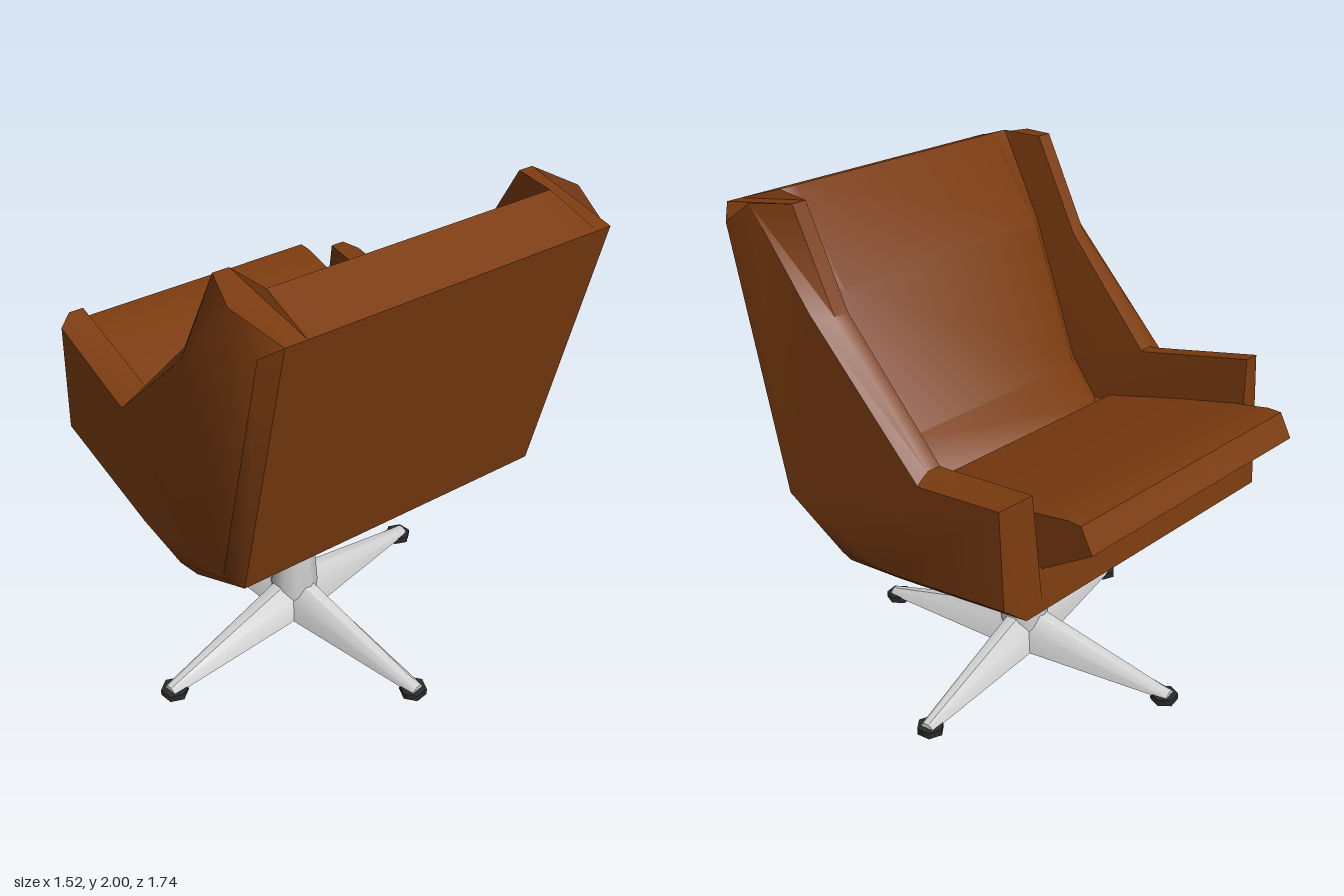
import * as THREE from 'three';
import { toCreasedNormals } from 'three/addons/utils/BufferGeometryUtils.js';

// Skins closed [z, y] profiles placed at decreasing x and caps both ends.
function loft(stations, crease = 0.7) {
  const pos = [], idx = [];
  const n = stations[0].pts.length;
  for (const s of stations) for (const [z, y] of s.pts) pos.push(s.x, y, z);
  for (let r = 0; r < stations.length - 1; r++) {
    for (let i = 0; i < n; i++) {
      const j = (i + 1) % n;
      const a = r * n + i, b = r * n + j, c = b + n, d = a + n;
      idx.push(a, b, c, a, c, d);
    }
  }
  [0, stations.length - 1].forEach((r, end) => {
    const contour = stations[r].pts.map(([z, y]) => new THREE.Vector2(-z, y));
    for (const [a, b, c] of THREE.ShapeUtils.triangulateShape(contour, [])) {
      const ccw = THREE.ShapeUtils.area([contour[a], contour[b], contour[c]]) > 0;
      const o = r * n;
      if (ccw === (end === 0)) idx.push(o + a, o + b, o + c);
      else idx.push(o + a, o + c, o + b);
    }
  });
  const g = new THREE.BufferGeometry();
  g.setAttribute('position', new THREE.Float32BufferAttribute(pos, 3));
  g.setIndex(idx);
  return toCreasedNormals(g, crease);
}

function material(name, color) {
  const m = new THREE.MeshStandardMaterial({ color });
  m.name = name;
  return m;
}

function add(parent, name, geometry, mat) {
  const mesh = new THREE.Mesh(geometry, mat);
  mesh.name = name;
  parent.add(mesh);
  return mesh;
}

export function createModel() {
  const leather = material('brownLeather', 0x7c3c10);
  leather.side = THREE.DoubleSide;
  const metal = material('brushedMetal', 0xd2d2d2);
  const rubber = material('blackRubber', 0x2b2b2b);
  const model = new THREE.Group();
  model.name = 'swivelArmchair';

  // Upholstered part, swivelled slightly on its base
  const seatGroup = new THREE.Group();
  seatGroup.name = 'upholstery';
  seatGroup.position.x = 0.013;
  seatGroup.rotation.y = -0.06;
  model.add(seatGroup);

  const underside = [[-0.64, 0.81], [-0.02, 0.70], [0.26, 0.66], [0.58, 0.83]];
  const bevelUnderside = [[-0.59, 0.85], [-0.02, 0.75], [0.24, 0.73], [0.53, 0.87]];

  // Rings of one side: outer face, ridge, inner edge of the arm
  function armRings(side, low, tip, lowZ) {
    const ridge = [[0.83, 1.93], [0.45, 2.0], [0.26, 1.64], [lowZ, low],
      [lowZ - 0.02, low], [-0.61, tip], ...underside];
    const outer = [[0.77, 1.88], [0.62, 1.98], [0.33, 1.65], [lowZ - 0.01, low - 0.03],
      [lowZ - 0.03, low - 0.03], [-0.57, tip - 0.03], ...bevelUnderside];
    return [
      { x: side * 0.705, pts: outer },
      { x: side * 0.65, pts: ridge },
      { x: side * 0.59, pts: ridge },
    ];
  }

  // Cross-section between the arms: headrest, lumbar, seat pan, underside
  const body = (inset) => [[0.83, 1.93], [0.62, 2.0], [0.38 + inset, 1.67], [0.17 + inset, 1.12],
    [0.05 + inset, 0.97], [-0.62, 0.97], ...underside];

  add(seatGroup, 'shell', loft([
    ...armRings(1, 1.20, 1.25, -0.18),
    { x: 0.57, pts: body(0.06) },
    { x: 0.50, pts: body(0) },
    { x: -0.50, pts: body(0) },
    { x: -0.57, pts: body(0.06) },
    ...armRings(-1, 1.235, 1.345, -0.11).reverse(),
  ]), leather);

  // Loose seat cushion, raised towards the front lip
  const cushion = [[0.03, 1.0], [-0.30, 1.09], [-0.58, 1.16], [-0.73, 1.19], [-0.785, 1.19],
    [-0.835, 1.10], [-0.62, 0.96], [0.03, 0.95]];
  const cushionMesh = add(seatGroup, 'seatCushion', loft([
    { x: 0.565, pts: cushion },
    { x: -0.565, pts: cushion },
  ]), leather);
  cushionMesh.position.x = -0.01;

  // Four-star pedestal
  const base = new THREE.Group();
  base.name = 'pedestal';
  base.position.set(-0.058, 0, 0.037);
  base.rotation.y = 0.115;
  model.add(base);

  const column = [[0, 0.025], [0.085, 0.025], [0.1, 0.19], [0.055, 0.72], [0, 0.72]]
    .map(([r, y]) => new THREE.Vector2(r, y));
  add(base, 'column', toCreasedNormals(new THREE.LatheGeometry(column, 10), 0.8), metal);

  const legSection = (w, bottom, top) => {
    const mid = bottom + (top - bottom) * 0.6;
    return [[w, bottom], [0.8 * w, mid], [0.3 * w, top], [-0.3 * w, top], [-0.8 * w, mid], [-w, bottom]];
  };
  const legGeometry = loft([
    { x: 0.69, pts: legSection(0.03, 0.022, 0.045) },
    { x: 0.05, pts: legSection(0.08, 0.035, 0.205) },
  ], 0.9);
  const footGeometry = new THREE.CylinderGeometry(0.055, 0.055, 0.027, 6);
  footGeometry.translate(0, 0.0135, 0);

  for (let i = 0; i < 4; i++) {
    const arm = new THREE.Group();
    arm.name = 'baseArm' + (i + 1);
    arm.rotation.y = i * Math.PI / 2;
    base.add(arm);
    add(arm, 'leg', legGeometry, metal);
    add(arm, 'foot', footGeometry, rubber).position.x = 0.665;
  }
  add(base, 'centreFoot', footGeometry, rubber);

  return model;
}
